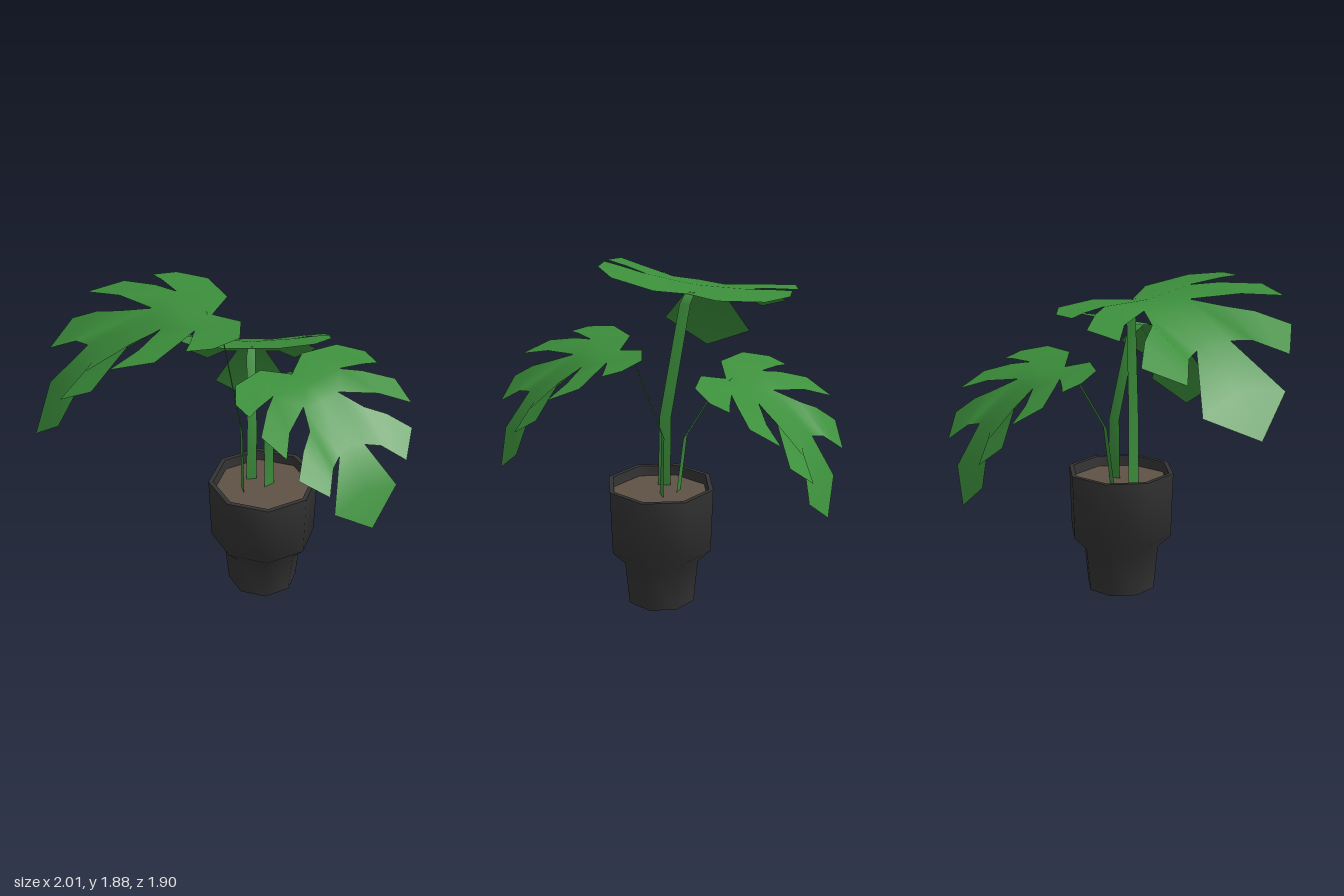
import * as THREE from 'three';
import { mergeVertices, toCreasedNormals } from 'three/addons/utils/BufferGeometryUtils.js';

const material = (color) => new THREE.MeshStandardMaterial({ color, side: THREE.DoubleSide });
const green = material(0x3c8f3c);
const potGrey = material(0x333333);
const earth = material(0x5f5145);

// Half a leaf. Each lobe is a strip of cross-rows, each row holding two
// points as (along the midrib, out from it, drop).
const LOBES = [
  [ // back lobe
    [0, 0, 0.04, 0.15, 0, 0.02],
    [-0.12, 0.18, 0.02, 0.147, 0.288, 0],
    [-0.06, 0.44, 0, 0.2, 0.457, -0.01],
    [0.1, 0.56, -0.01, 0.24, 0.555, -0.01],
  ],
  [ // side lobe
    [0.15, 0, 0.02, 0.32, 0, 0.03],
    [0.147, 0.288, 0, 0.304, 0.151, 0.03],
    [0.242, 0.414, 0, 0.45, 0.384, 0.03],
    [0.4, 0.58, 0.02, 0.62, 0.54, 0.05],
  ],
  [ // front side lobe
    [0.32, 0, 0.03, 0.64, 0, 0.17],
    [0.304, 0.151, 0.03, 0.669, 0.112, 0.19],
    [0.481, 0.236, 0.06, 0.725, 0.208, 0.2],
    [0.58, 0.363, 0.1, 0.795, 0.272, 0.24],
    [0.715, 0.495, 0.18, 0.865, 0.335, 0.28],
  ],
  [ // tip
    [0.669, 0.112, 0.19, 0.64, 0, 0.17],
    [0.885, 0.275, 0.46, 0.85, 0, 0.4],
    [1, 0, 0.63, 1, 0, 0.63],
  ],
];

// Whole leaf: stalk joint at the origin, midrib along +z, drooping down
function leafGeometry() {
  const positions = [];
  for (const side of [1, -1]) {
    for (const rows of LOBES) {
      for (let i = 0; i + 1 < rows.length; i++) {
        const [p, q, P, Q] = [rows[i], rows[i + 1]].flatMap(
          (r) => [[r[1] * side, -r[2], r[0]], [r[4] * side, -r[5], r[3]]]);
        const corners = side > 0 ? [p, q, Q, p, Q, P] : [p, Q, q, p, P, Q];
        for (const c of corners) positions.push(...c);
      }
    }
  }
  const soup = new THREE.BufferGeometry();
  soup.setAttribute('position', new THREE.Float32BufferAttribute(positions, 3));
  const geometry = mergeVertices(soup);
  geometry.computeVertexNormals();
  return geometry;
}

// Flat ribbon stalk along a path; yaw is the heading of its leaf
function stem(name, path, yaw, halfWidth) {
  const positions = [], indices = [];
  path.forEach(([x, y, z], i) => {
    const w = halfWidth * (1 - 0.25 * (i / (path.length - 1)));
    const dx = Math.cos(yaw) * w, dz = -Math.sin(yaw) * w;
    positions.push(x - dx, y, z - dz, x + dx, y, z + dz);
    if (i === 0) return;
    const a = (i - 1) * 2;
    indices.push(a, a + 1, a + 3, a, a + 3, a + 2);
  });
  const geometry = new THREE.BufferGeometry();
  geometry.setAttribute('position', new THREE.Float32BufferAttribute(positions, 3));
  geometry.setIndex(indices);
  geometry.computeVertexNormals();
  const mesh = new THREE.Mesh(geometry, green);
  mesh.name = name;
  return mesh;
}

// The three shoots: leaf placement and stalk path
const SHOOTS = [
  {
    name: 'front', joint: [-0.17, 1.81, 0.08], yaw: -0.815, pitch: 0, roll: 0.11, scale: 1, halfWidth: 0.037,
    path: [[0.015, 0.64, 0.07], [0.005, 1.08, 0.07], [-0.13, 1.72, 0.07], [-0.19, 1.775, 0.1]],
  },
  {
    name: 'back', joint: [-0.15, 1.41, -0.305], yaw: -2.593, pitch: 0.337, roll: 0, scale: 0.822, halfWidth: 0.03,
    path: [[0, 0.64, -0.05], [-0.02, 1.0, -0.09], [-0.13, 1.35, -0.26], [-0.16, 1.375, -0.32]],
  },
  {
    name: 'side', joint: [0.32, 1.565, 0.06], yaw: 1.207, pitch: 0.206, roll: 0, scale: 0.793, halfWidth: 0.036,
    path: [[0.12, 0.64, -0.055], [0.11, 1.02, -0.055], [0.26, 1.51, 0.03], [0.33, 1.535, 0.065]],
  },
];

export function createModel() {
  const model = new THREE.Group();
  model.name = 'pottedPlant';

  // Eight-sided pot with a stepped wall and hollow rim
  const profile = [[0, 0], [0.203, 0], [0.228, 0.26], [0.305, 0.34], [0.317, 0.72], [0.29, 0.72], [0.28, 0.62]]
    .map(([r, y]) => new THREE.Vector2(r, y));
  const turn = Math.PI / 5;
  const pot = new THREE.Mesh(
    toCreasedNormals(new THREE.LatheGeometry(profile, 8, turn), 1.2), potGrey);
  pot.name = 'pot';
  pot.position.set(0.1, 0, -0.015);
  model.add(pot);

  // Soil
  const disc = new THREE.LatheGeometry([new THREE.Vector2(0.284, 0), new THREE.Vector2(0, 0)], 8, turn);
  const soil = new THREE.Mesh(disc, earth);
  soil.name = 'soil';
  soil.position.set(0.1, 0.66, -0.015);
  model.add(soil);

  // Stalks and leaves
  const blade = leafGeometry();
  for (const { name, joint, yaw, pitch, roll, scale, path, halfWidth } of SHOOTS) {
    const leaf = new THREE.Mesh(blade, green);
    leaf.name = `${name}Leaf`;
    leaf.position.set(...joint);
    leaf.rotation.set(pitch, yaw, roll, 'YXZ');
    leaf.scale.setScalar(scale);
    model.add(leaf, stem(`${name}Stem`, path, yaw, halfWidth));
  }
  return model;
}
